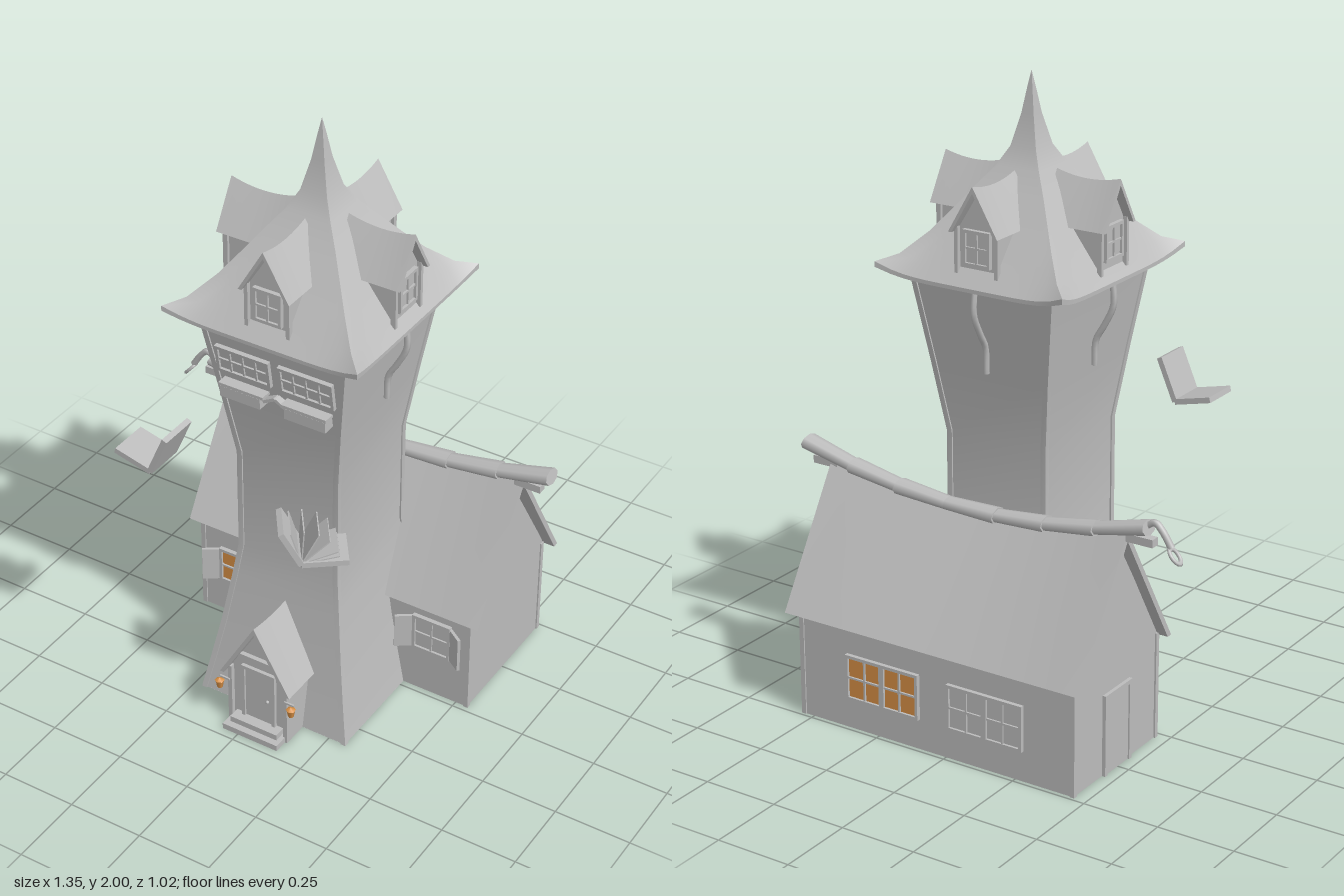
import * as THREE from 'three';
import { toCreasedNormals } from 'three/addons/utils/BufferGeometryUtils.js';

const stone = new THREE.MeshStandardMaterial({ color: 0xbcbcbc, side: THREE.DoubleSide });
stone.name = 'stone grey';
const glow = new THREE.MeshStandardMaterial({ color: 0xd68f45, side: THREE.DoubleSide });
glow.name = 'lamplight orange';

const CX = 0.045, CZ = 0.05; // tower axis
const group = (name, parent) => {
  const g = new THREE.Group();
  g.name = name;
  if (parent) parent.add(g);
  return g;
};
function add(parent, name, geo, pos = [0, 0, 0], mat = stone) {
  const m = new THREE.Mesh(geo, mat);
  m.name = name;
  m.position.set(...pos);
  parent.add(m);
  return m;
}
const box = (p, name, w, h, d, x, y, z, mat) => add(p, name, new THREE.BoxGeometry(w, h, d), [x, y, z], mat);

// Surface from a rule f(u, v) -> [x, y, z]
function grid(nu, nv, f) {
  const pos = [], idx = [];
  for (let j = 0; j <= nv; j++) for (let i = 0; i <= nu; i++) pos.push(...f(i / nu, j));
  for (let j = 0; j < nv; j++) for (let i = 0; i < nu; i++) {
    const a = j * (nu + 1) + i, b = a + nu + 1;
    idx.push(a, a + 1, b + 1, a, b + 1, b);
  }
  const g = new THREE.BufferGeometry();
  g.setAttribute('position', new THREE.Float32BufferAttribute(pos, 3));
  g.setIndex(idx);
  return toCreasedNormals(g, 0.6);
}

// Four-sided surface from rows [halfX, y, halfZ, cornerLift, cornerFlare]
const CORNERS = [[-1, 1], [1, 1], [1, -1], [-1, -1]];
function fourSided(parent, name, rows, nu) {
  for (let k = 0; k < 4; k++) {
    const a = CORNERS[k], b = CORNERS[(k + 1) % 4];
    add(parent, name, grid(nu, rows.length - 1, (u, j) => {
      const [hx, y, hz, lift = 0, flare = 0] = rows[j];
      const e = Math.pow(Math.abs(2 * u - 1), 6), s = 1 + flare * e;
      return [(a[0] + (b[0] - a[0]) * u) * hx * s, y + lift * e, (a[1] + (b[1] - a[1]) * u) * hz * s];
    }));
  }
}

// Outline extruded along z; its upper part sags between the ends
function prism(pts, len, sag = 0, y0 = 0, rise = 1, span = len) {
  const shape = new THREE.Shape(pts.map(p => new THREE.Vector2(...p)));
  const g = new THREE.ExtrudeGeometry(shape, { depth: len, steps: 12, bevelEnabled: false });
  g.translate(0, 0, -len / 2);
  const p = g.attributes.position;
  for (let i = 0; i < p.count; i++) {
    const w = Math.max(0, (p.getY(i) - y0) / rise);
    p.setY(i, p.getY(i) - sag * w * (1 - (2 * p.getZ(i) / span) ** 2));
  }
  return toCreasedNormals(g, 0.5);
}
const gableRoof = (w, y0, rise, t, len, sag) => prism(
  [[w, y0], [0, y0 + rise], [-w, y0], [t - w, y0], [0, y0 + rise * (w - t) / w], [w - t, y0]], len, sag, y0, rise);
const gableWall = (w, bottom, eave, peak) => [[-w, bottom], [w, bottom], [w, eave], [0, peak], [-w, eave]];

// Framed window facing +z with mullions
function windowUnit(parent, name, w, h, x, y, z, cols, rows, mat = stone) {
  const g = group(name, parent), f = 0.01;
  g.position.set(x, y, z);
  box(g, 'pane', w, h, 0.006, 0, 0, 0.003, mat);
  for (const s of [-1, 1]) {
    box(g, 'frameSide', f, h + f, 0.016, s * w / 2, 0, 0.006);
    box(g, 'frameRail', w + f, f, 0.016, 0, s * h / 2, 0.006);
  }
  for (let i = 1; i < cols; i++) box(g, 'mullion', 0.006, h, 0.012, w * (i / cols - 0.5), 0, 0.006);
  for (let i = 1; i < rows; i++) box(g, 'mullion', w, 0.006, 0.012, 0, h * (i / rows - 0.5), 0.006);
  return g;
}
function shutters(win, w, h) {
  for (const s of [-1, 1]) {
    const m = box(win, 'shutter', 0.065, h, 0.01, s * (w / 2 + 0.027), 0, 0.022);
    m.rotation.y = -s * 0.6;
  }
}

function tower(root) {
  const g = group('tower', root);
  g.position.set(CX, 0, CZ);
  const prof = [[0.263, 0, 0.285], [0.24, 0.12, 0.262], [0.215, 0.26, 0.236], [0.19, 0.43, 0.208],
    [0.174, 0.55, 0.191], [0.174, 0.9, 0.191], [0.205, 1.13, 0.227], [0.247, 1.41, 0.271]];
  fourSided(g, 'towerWall', prof, 1);
  const base = add(g, 'towerBase', new THREE.PlaneGeometry(0.526, 0.57), [0, 0.001, 0]);
  base.rotation.x = Math.PI / 2;
  // Corner boards
  for (const [sx, sz] of CORNERS) add(g, 'cornerBoard', grid(4, prof.length - 1, (u, j) => {
    const c = CORNERS[Math.round(u * 4) % 4], [hx, y, hz] = prof[j];
    return [sx * (hx - 0.004) + c[0] * 0.009, y, sz * (hz - 0.004) + c[1] * 0.009];
  }));
  // Sweeping roof with upturned corners
  const roof = group('towerRoof', g);
  fourSided(roof, 'roofSide', [[0.24, 1.4, 0.26], [0.31, 1.4, 0.322, 0.03, 0.065], [0.31, 1.412, 0.322, 0.035, 0.065],
    [0.272, 1.455, 0.284, 0.012, 0.02], [0.215, 1.53, 0.222], [0.165, 1.597, 0.168], [0.12, 1.66, 0.12], [0.075, 1.72, 0.075],
    [0.045, 1.775, 0.045], [0.022, 1.87, 0.022], [0.009, 1.95, 0.009], [0, 2, 0]], 16);
  // Dormers on all four sides
  for (let k = 0; k < 4; k++) {
    const d = group('dormer', g);
    d.rotation.y = k * Math.PI / 2;
    add(d, 'dormerWall', prism(gableWall(0.066, 1.44, 1.585, 1.69), 0.2), [0, 0, 0.18]);
    add(d, 'dormerRoof', gableRoof(0.086, 1.57, 0.147, 0.012, 0.22, 0.016), [0, 0, 0.2]);
    for (const s of [-1, 1]) box(d, 'dormerPost', 0.012, 0.15, 0.016, s * 0.07, 1.51, 0.286);
    windowUnit(d, 'dormerWindow', 0.085, 0.1, 0, 1.525, 0.28, 2, 2);
  }
  // Curved braces on the sides and back
  for (const k of [1, 2, 3]) {
    const o = k === 2 ? 0.015 : 0;
    const pts = [[0.285, 1.41], [0.29, 1.33], [0.258, 1.26], [0.23, 1.21], [0.226, 1.13]];
    const c = new THREE.CatmullRomCurve3(pts.map(([z, y]) => new THREE.Vector3(0, y, z + o)));
    add(g, 'brace', new THREE.TubeGeometry(c, 16, 0.01, 6)).rotation.y = k * Math.PI / 2;
  }
  // Twin front windows with planters
  for (const s of [-1, 1]) {
    const w = windowUnit(g, 'towerWindow', 0.175, 0.085, s * 0.108, 1.27, 0.249, 4, 2);
    w.rotation.x = 0.16;
    box(g, 'planter', 0.14, 0.035, 0.045, s * 0.112, 1.165, 0.25);
    box(g, 'planterRim', 0.155, 0.01, 0.05, s * 0.108, 1.19, 0.25);
    const arch = box(g, 'sillLink', 0.045, 0.01, 0.03, s * 0.02, 1.18, 0.245);
    arch.rotation.z = -s * 0.5;
  }
}

function house(root) {
  const g = group('house', root), z = -0.253, L = 1.07, sag = 0.07;
  const turn = m => { m.rotation.y = Math.PI / 2; return m; };
  turn(add(g, 'houseWall', prism(gableWall(0.2325, 0, 0.36, 0.738), 0.995, sag, 0.345, 0.43, L), [0.043, 0, z]));
  turn(add(g, 'houseRoof', gableRoof(0.259, 0.342, 0.43, 0.02, L, sag), [0.045, 0, z - 0.003]));
  for (const x of [-0.452, 0.537]) {
    for (const s of [-1, 1]) box(g, 'cornerPost', 0.016, 0.35, 0.016, x, 0.175, z + s * 0.229);
  }
  // Ridge cap of overlapping tiles
  const ridge = x => 0.715 + 0.07 * ((x - 0.045) / 0.55) ** 2, n = 7;
  for (let i = 0; i < n; i++) {
    const a = -0.555 + 1.222 * i / n, b = -0.555 + 1.222 * (i + 1) / n, dy = ridge(b) - ridge(a);
    const flip = i < n / 2 ? 1 : -1;
    const geo = new THREE.CylinderGeometry(flip > 0 ? 0.03 : 0.037, flip > 0 ? 0.037 : 0.03, Math.hypot(b - a, dy) + 0.012, 8);
    geo.rotateZ(-Math.PI / 2).scale(1, 0.65, 1);
    add(g, 'ridgeTile', geo, [(a + b) / 2, (ridge(a) + ridge(b)) / 2, z - 0.004]).rotation.z = Math.atan2(dy, b - a);
  }
  for (const x of [-0.535, 0.6]) box(g, 'ridgeBeamEnd', 0.09, 0.025, 0.03, x, 0.755, z);
  // Hook and ring at the ridge end
  const hook = new THREE.CatmullRomCurve3([[-0.55, 0.8], [-0.58, 0.817], [-0.605, 0.795], [-0.635, 0.75]]
    .map(([x, y]) => new THREE.Vector3(x, y, z)));
  add(g, 'hook', new THREE.TubeGeometry(hook, 12, 0.011, 6));
  const ring = add(g, 'hookRing', new THREE.TorusGeometry(0.017, 0.006, 6, 14), [-0.647, 0.728, z]);
  ring.rotation.set(Math.PI / 2, 0.85, 0);
  ring.scale.x = 1.5;
  // Windows with shutters on the front, plain on the back
  shutters(windowUnit(g, 'frontWindow', 0.125, 0.12, -0.317, 0.192, -0.02, 2, 2, glow), 0.125, 0.12);
  shutters(windowUnit(g, 'frontWindow', 0.125, 0.12, 0.41, 0.232, -0.02, 2, 2), 0.125, 0.12);
  for (const [x, mat] of [[0.23, glow], [-0.145, stone]]) {
    const w = windowUnit(g, 'backWindow', 0.26, 0.14, x, 0.175, -0.485, 4, 2, mat);
    w.rotation.y = Math.PI;
    box(w, 'centrePost', 0.018, 0.14, 0.016, 0, 0, 0.006);
  }
  // Side door
  const d = group('sideDoor', g);
  d.position.set(-0.455, 0, z);
  d.rotation.y = -Math.PI / 2;
  box(d, 'doorLeaf', 0.13, 0.25, 0.008, 0, 0.125, 0.002);
  for (const s of [-1, 1]) box(d, 'doorJamb', 0.014, 0.26, 0.016, s * 0.068, 0.13, 0.003);
  box(d, 'doorLintel', 0.15, 0.014, 0.016, 0, 0.257, 0.003);
}

function porch(root) {
  const g = group('porch', root);
  g.position.x = CX;
  add(g, 'porchWall', prism(gableWall(0.108, 0, 0.215, 0.39), 0.21), [0, 0, 0.305]);
  add(g, 'porchRoof', gableRoof(0.127, 0.2, 0.22, 0.014, 0.24, 0.012), [0, 0, 0.32]);
  box(g, 'doorLeaf', 0.095, 0.185, 0.008, 0, 0.135, 0.413);
  for (const s of [-1, 1]) {
    box(g, 'porchPost', 0.014, 0.22, 0.02, s * 0.101, 0.11, 0.415);
    box(g, 'doorJamb', 0.012, 0.2, 0.016, s * 0.055, 0.135, 0.414);
    // Hanging lanterns
    const l = group('lantern', g);
    l.position.set(s * 0.131, 0.145, 0.437);
    add(l, 'lanternLight', new THREE.CylinderGeometry(0.014, 0.009, 0.026, 6), [0, 0, 0], glow);
    add(l, 'lanternCap', new THREE.ConeGeometry(0.016, 0.01, 6), [0, 0.018, 0], glow);
    box(l, 'lanternArm', 0.035, 0.006, 0.006, -s * 0.013, 0.022, -0.01);
  }
  box(g, 'doorLintel', 0.122, 0.012, 0.016, 0, 0.234, 0.414);
  box(g, 'gableBeam', 0.15, 0.014, 0.02, 0, 0.28, 0.415);
  add(g, 'doorKnob', new THREE.SphereGeometry(0.006, 8, 6), [0.034, 0.13, 0.42]);
  box(g, 'lowerStep', 0.2, 0.02, 0.1, 0, 0.01, 0.422);
  box(g, 'upperStep', 0.17, 0.02, 0.06, 0, 0.03, 0.42);
}

// Open flying book: leaves hinged on a spine along z
function book(root, pos, turn, covers, pages) {
  const g = group('flyingBook', root);
  g.position.set(...pos);
  g.rotation.y = turn;
  const leaf = (name, a, len, t, depth) => {
    const m = add(g, name, new THREE.BoxGeometry(len, t, depth).translate(len / 2, 0, 0));
    m.rotation.z = a;
  };
  for (const [a, len] of covers) leaf('bookCover', a, len, 0.018, 0.13);
  for (const a of pages) leaf('bookPage', a, 0.115, 0.004, 0.115);
  return g;
}

export function createModel() {
  const root = group('towerHouse');
  tower(root);
  house(root);
  porch(root);
  book(root, [-0.27, 0.93, 0.44], 0, [[2.9, 0.128], [1.16, 0.145]], []);
  book(root, [0.19, 0.752, 0.4], 0.63, [[0.03, 0.14], [2.05, 0.13]], [0.2, 0.35, 0.75, 1.1, 1.5, 1.85]);
  return root;
}
